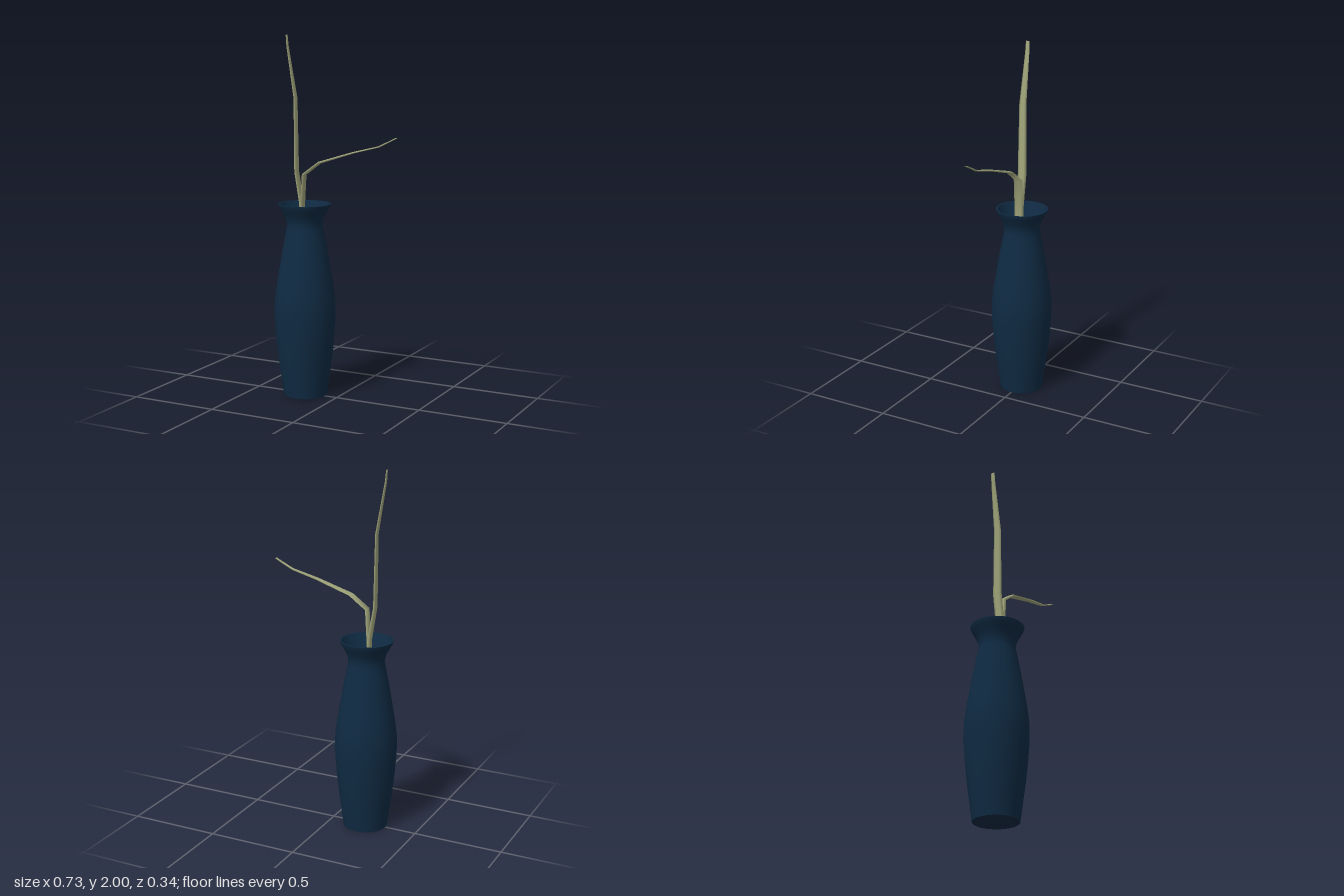
import * as THREE from 'three';
import { toCreasedNormals } from 'three/addons/utils/BufferGeometryUtils.js';

const SIDES = 6;

// Flat, tapering twig: each section is [x, y, half thickness, half width in z]
function twigGeometry(sections, z) {
  const pos = [], index = [];
  sections.forEach(([x, y, thin, wide], i) => {
    const p = sections[Math.max(i - 1, 0)];
    const q = sections[Math.min(i + 1, sections.length - 1)];
    const t = new THREE.Vector2(q[0] - p[0], q[1] - p[1]).normalize();
    for (let k = 0; k < SIDES; k++) {
      const a = (k + 0.5) / SIDES * Math.PI * 2;
      const n = Math.cos(a) * thin;
      pos.push(x + t.y * n, y - t.x * n, z + Math.sin(a) * wide);
    }
  });
  for (let i = 0; i < sections.length - 1; i++) {
    for (let k = 0; k < SIDES; k++) {
      const a = i * SIDES + k, b = i * SIDES + (k + 1) % SIDES;
      index.push(a, a + SIDES, b, b, a + SIDES, b + SIDES);
    }
  }
  // tip cap
  const last = (sections.length - 1) * SIDES;
  for (let k = 1; k < SIDES - 1; k++) index.push(last, last + k + 1, last + k);
  const g = new THREE.BufferGeometry();
  g.setAttribute('position', new THREE.Float32BufferAttribute(pos, 3));
  g.setIndex(index);
  g.computeVertexNormals();
  return g;
}

export function createModel() {
  const model = new THREE.Group();
  const glaze = new THREE.MeshStandardMaterial({ color: 0x0f2a42, side: THREE.DoubleSide });
  const bark = new THREE.MeshStandardMaterial({ color: 0xa0a57a, side: THREE.DoubleSide });

  const add = (name, geometry, material) => {
    const mesh = new THREE.Mesh(geometry, material);
    mesh.name = name;
    model.add(mesh);
    return mesh;
  };

  // Vase: outer wall upward, thin lip, inner wall down to the floor
  const profile = [
    [0, 0], [0.122, 0], [0.135, 0.1], [0.149, 0.2], [0.16, 0.3], [0.168, 0.4], [0.171, 0.47],
    [0.169, 0.54], [0.161, 0.61], [0.146, 0.7], [0.127, 0.81], [0.112, 0.89], [0.102, 0.94],
    [0.099, 0.965], [0.104, 0.995], [0.118, 1.025], [0.134, 1.052], [0.143, 1.07], [0.145, 1.08],
    [0.136, 1.08], [0.124, 1.052], [0.105, 1.02], [0.093, 0.99], [0.089, 0.965], [0.1, 0.9],
    [0.13, 0.72], [0.155, 0.56], [0.16, 0.46], [0.15, 0.3], [0.113, 0.03], [0, 0.03],
  ].map(([r, y]) => new THREE.Vector2(r, y));
  const vase = add('vase', toCreasedNormals(new THREE.LatheGeometry(profile, 32), 0.8), glaze);
  vase.position.x = -0.197;

  // Tall twig, rooted inside the vase
  add('tallTwig', twigGeometry([
    [-0.2, 0.05, 0.01, 0.027], [-0.204, 1.08, 0.01, 0.027], [-0.235, 1.26, 0.008, 0.027],
    [-0.24, 1.66, 0.006, 0.022], [-0.288, 1.94, 0.004, 0.013], [-0.293, 2.0, 0.003, 0.011],
  ], 0.022), bark);

  // Side twig, bending out to the left
  add('sideTwig', twigGeometry([
    [-0.202, 1.02, 0.009, 0.027], [-0.188, 1.245, 0.009, 0.027], [-0.092, 1.314, 0.007, 0.027],
    [0.115, 1.378, 0.005, 0.02], [0.263, 1.415, 0.004, 0.014], [0.365, 1.465, 0.003, 0.011],
  ], 0.022), bark);

  return model;
}
